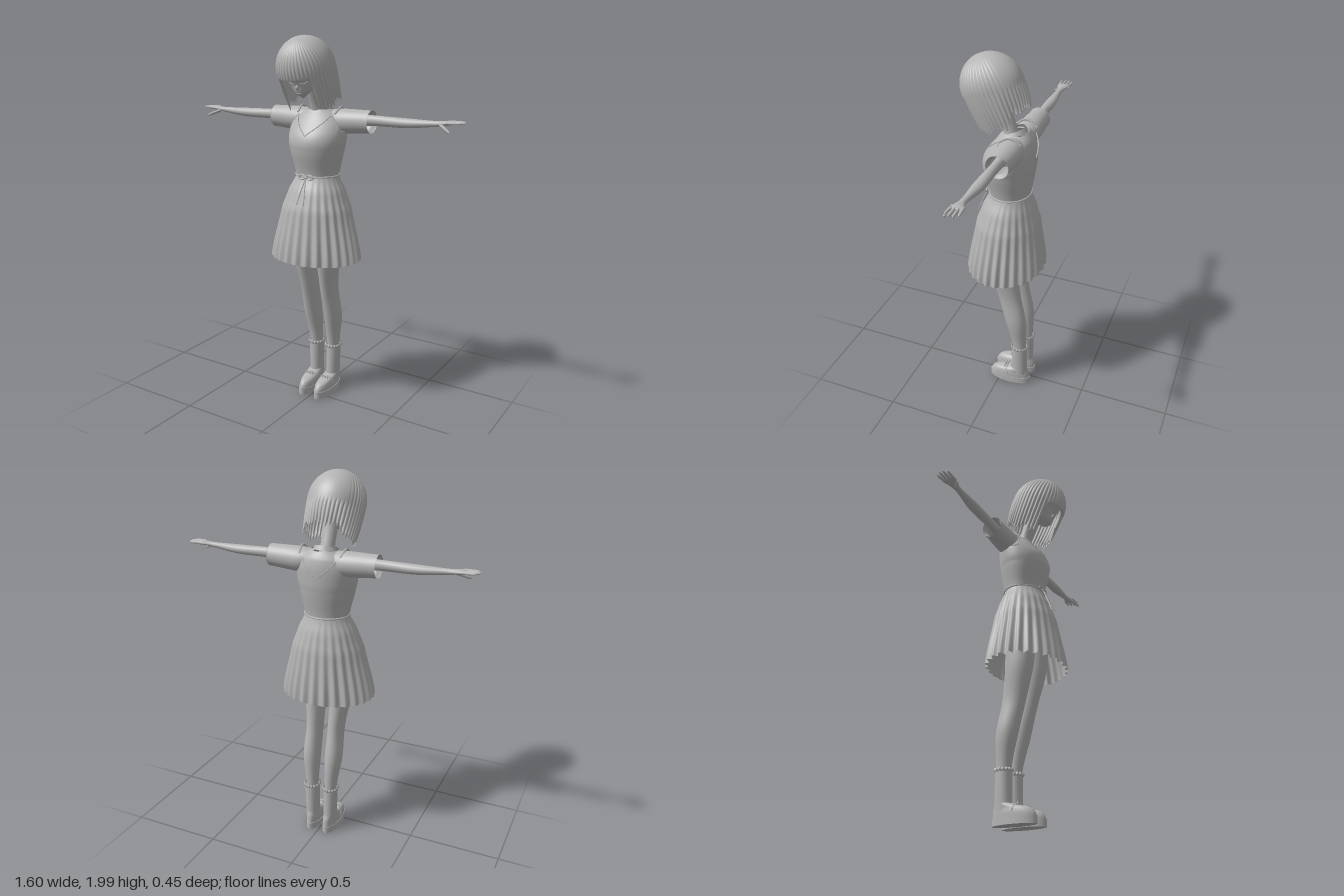
import * as THREE from 'three';

const grey = new THREE.MeshStandardMaterial({ color: 0xb4b4b4, side: THREE.DoubleSide });
grey.name = 'plain grey';

const { smoothstep, lerp } = THREE.MathUtils;
const mesh = (name, geometry) => {
  const m = new THREE.Mesh(geometry, grey);
  m.name = name;
  return m;
};

// Smoothly interpolate rows [t, a, b, ...] at t
function at(rows, t) {
  let i = 0;
  while (i < rows.length - 2 && t > rows[i + 1][0]) i++;
  const r = k => rows[Math.min(Math.max(k, 0), rows.length - 1)];
  const f = (t - r(i)[0]) / (r(i + 1)[0] - r(i)[0]);
  return rows[0].map((_, c) => {
    if (c === 0) return t;
    const p0 = r(i - 1)[c], p1 = r(i)[c], p2 = r(i + 1)[c], p3 = r(i + 2)[c];
    return p1 + 0.5 * f * (p2 - p0 + f * (2 * p0 - 5 * p1 + 4 * p2 - p3 + f * (3 * (p1 - p2) + p3 - p0)));
  });
}

// Closed-around surface from point(angle, v)
function surface(nu, nv, point) {
  const pos = [], index = [];
  for (let i = 0; i <= nv; i++)
    for (let j = 0; j < nu; j++) pos.push(...point(j / nu * Math.PI * 2, i / nv));
  for (let i = 0; i < nv; i++)
    for (let j = 0; j < nu; j++) {
      const a = i * nu + j, b = i * nu + (j + 1) % nu;
      index.push(a, b, b + nu, a, b + nu, a + nu);
    }
  const g = new THREE.BufferGeometry();
  g.setAttribute('position', new THREE.Float32BufferAttribute(pos, 3));
  g.setIndex(index);
  g.computeVertexNormals();
  return g;
}

// Upright sections, rows [y, cx, cz, rx, rz]
const ringY = (rows, y, a, grow = 0) => {
  const [, cx, cz, rx, rz] = at(rows, y);
  return [cx + (rx + grow) * Math.sin(a), y, cz + (rz + grow) * Math.cos(a)];
};
const loftY = (rows, nu, nv) => surface(nu, nv, (a, v) => ringY(rows, lerp(rows[0][0], rows.at(-1)[0], v), a));
// Sideways sections, rows [x, cy, cz, ry, rz]
const loftX = (rows, nu, nv) => surface(nu, nv, (a, v) => {
  const [x, cy, cz, ry, rz] = at(rows, lerp(rows[0][0], rows.at(-1)[0], v));
  return [x, cy + ry * Math.cos(a), cz + rz * Math.sin(a)];
});
const tube = (pts, r, closed = false, n = 24) => new THREE.TubeGeometry(
  new THREE.CatmullRomCurve3(pts.map(p => new THREE.Vector3(...p)), closed), n, r, 6, closed);
const ball = (x, y, z, rx, ry, rz) => new THREE.SphereGeometry(1, 24, 16).scale(rx, ry, rz).translate(x, y, z);

// Add a left part and its mirrored right part
function addPair(group, name, geo) {
  group.add(mesh('left ' + name, geo));
  const g = geo.clone().scale(-1, 1, 1), ix = g.index;
  for (let i = 0; i < ix.count; i += 3) {
    const b = ix.getX(i + 1);
    ix.setX(i + 1, ix.getX(i + 2));
    ix.setX(i + 2, b);
  }
  group.add(mesh('right ' + name, g));
}

function makeHead() {
  const head = new THREE.Group();
  head.name = 'head';
  // Face and skull, pointed chin
  const face = [
    [-0.125, 0, 0.085, 0.006, 0.008], [-0.09, 0, 0.042, 0.058, 0.073], [-0.045, 0, 0.008, 0.085, 0.108],
    [0.06, 0, -0.005, 0.113, 0.127], [0.15, 0, 0, 0.01, 0.01]];
  head.add(mesh('face', loftY(face, 40, 30)));
  head.add(mesh('nose', ball(0, -0.056, 0.114, 0.009, 0.014, 0.013)));
  head.add(mesh('mouth', tube([-0.25, 0, 0.25].map(a => ringY(face, -0.089 + 0.05 * a * a, a)), 0.002)));
  addPair(head, 'eyelid', tube([0.22, 0.45, 0.7].map((a, i) => ringY(face, -0.032 - 0.007 * (i % 2), a)), 0.003));
  addPair(head, 'ear', ball(0.098, -0.03, -0.01, 0.013, 0.03, 0.02));
  // Bobbed hair: ridged locks spreading from the crown, short fringe, long sides
  const locks = 44;
  head.add(mesh('hair', surface(locks * 8, 34, (a, w) => {
    const v = 1 - w, c = Math.cos(a), back = smoothstep(-c, 0.35, 0.8), side = smoothstep(-c, -0.83, -0.7);
    const lock = Math.abs(Math.sin(a * locks / 2)) ** 0.7;
    const length = lerp(lerp(0.004, -0.178, side), -0.13, back);
    const tip = length - 0.022 * (lock - 0.5) * (0.4 + side) + 0.012 * Math.sin(a * 9) * side;
    const phi = Math.min(v / 0.6, 1) * Math.PI / 2, drop = Math.max(v - 0.6, 0) / 0.4;
    const ridge = smoothstep(v, 0.03, 0.3) * (1 - back * (1 - smoothstep(v, 0.62, 0.72)));
    const r = Math.sin(phi) * (1 + 0.035 * (lock - 0.7) * ridge) * (1 - 0.1 * drop * drop);
    return [0.148 * r * Math.sin(a), 0.163 * Math.cos(phi) + tip * drop, 0.015 * (1 - v) - 0.006 + 0.157 * r * c];
  })));
  head.position.set(-0.008, 1.834, 0.06);
  head.rotation.set(0.4, 0, 0.04);
  return head;
}

function addDress(model) {
  // Blouse and bodice with a V neckline front and back
  const torso = [
    [1.27, 0, -0.04, 0.112, 0.1], [1.42, 0, -0.034, 0.144, 0.128], [1.48, 0, -0.039, 0.154, 0.128],
    [1.54, 0, -0.056, 0.15, 0.11], [1.59, 0, -0.068, 0.122, 0.088], [1.62, 0, -0.07, 0.072, 0.066]];
  const neckline = a => {
    const s = Math.abs(Math.sin(a));
    return 1.49 + 0.1 * Math.min(s / 0.75, 1) - 0.08 * smoothstep(s, 0.8, 0.95);
  };
  const around = (n, y, grow) => Array.from({ length: n }, (_, i) => {
    const a = i / n * Math.PI * 2;
    return ringY(torso, y(a), a, grow);
  });
  model.add(mesh('blouse', loftY(torso, 48, 24)));
  model.add(mesh('bodice', surface(96, 24, (a, v) => ringY(torso, lerp(1.27, neckline(a), v), a, 0.006))));
  model.add(mesh('neckline trim', tube(around(96, neckline, 0.006), 0.003, true, 192)));
  model.add(mesh('collar', surface(40, 4, (a, v) => {
    const r = 0.068 - 0.012 * v;
    return [r * Math.sin(a), 1.605 + 0.022 * v - 0.02 * Math.cos(a), -0.058 + r * 0.95 * Math.cos(a)];
  })));
  // Pleated skirt
  const skirt = [
    [0.82, 0, -0.022, 0.25, 0.202], [1.1, 0, -0.029, 0.192, 0.165],
    [1.2, 0, -0.034, 0.154, 0.135], [1.275, 0, -0.04, 0.117, 0.105]];
  model.add(mesh('skirt', surface(240, 24, (a, v) => {
    const wave = Math.cos(a * 26) * (1 - v);
    const p = ringY(skirt, lerp(0.82, 1.275, v), a, 0.009 * wave);
    p[1] += 0.003 * wave * (1 - v);
    return p;
  })));
  // Waist cord and bow
  model.add(mesh('waist cord', tube(around(24, () => 1.275, 0.008), 0.005, true, 72)));
  model.add(mesh('bow knot', ball(0, 1.272, 0.078, 0.009, 0.008, 0.008)));
  addPair(model, 'bow loop', new THREE.TorusGeometry(0.012, 0.004, 6, 24).scale(1.6, 1, 1).translate(0.023, 1.275, 0.078));
  addPair(model, 'bow tail', tube([[0, 1.27, 0.08], [0.012, 1.2, 0.112], [0.022, 1.135, 0.137]], 0.0035));
  // Short sleeves with turned-in cuffs
  addPair(model, 'sleeve', loftX([
    [0.05, 1.565, -0.078, 0.05, 0.055], [0.12, 1.56, -0.082, 0.064, 0.066], [0.295, 1.565, -0.084, 0.058, 0.057]], 32, 14));
  addPair(model, 'sleeve cuff', loftX([[0.27, 1.565, -0.084, 0.046, 0.044], [0.297, 1.565, -0.084, 0.059, 0.058]], 32, 6));
  addPair(model, 'shoulder strap', tube([[0.113, 1.6, -0.02], [0.12, 1.632, -0.075], [0.113, 1.6, -0.135]], 0.006));
}

function addArms(model) {
  addPair(model, 'arm', loftX([
    [0.15, 1.57, -0.083, 0.034, 0.034], [0.3, 1.573, -0.082, 0.027, 0.024], [0.5, 1.572, -0.08, 0.024, 0.028],
    [0.655, 1.579, -0.077, 0.014, 0.016], [0.725, 1.587, -0.079, 0.011, 0.033], [0.738, 1.588, -0.079, 0.004, 0.026]], 20, 36));
  // Tapered digits with rounded tips
  const digit = (from, to, r) => surface(10, 14, (a, v) => {
    const k = r * (1 - 0.3 * v) * Math.sqrt(1.001 - v ** 8);
    const [x, y, z] = from.map((p, i) => lerp(p, to[i], v));
    return [x, y + k * Math.cos(a), z + k * Math.sin(a)];
  });
  for (let i = 0; i < 4; i++) {
    const f = i - 1.6, reach = 0.8 - 0.0065 * f * f;
    addPair(model, 'finger ' + (i + 1), digit([0.712, 1.588, -0.079 + 0.017 * f], [reach, 1.59, -0.082 + 0.021 * f], 0.0085));
  }
  addPair(model, 'thumb', digit([0.672, 1.577, -0.068], [0.742, 1.545, -0.024], 0.011));
}

function addLegs(model) {
  model.add(mesh('hips', ball(0, 1.08, -0.025, 0.14, 0.12, 0.11)));
  addPair(model, 'leg', loftY([
    [0.2, 0.055, -0.122, 0.033, 0.037], [0.3, 0.057, -0.12, 0.035, 0.041], [0.46, 0.065, -0.1, 0.047, 0.06],
    [0.63, 0.064, -0.062, 0.044, 0.066], [0.82, 0.073, -0.028, 0.057, 0.08], [1.08, 0.072, -0.02, 0.066, 0.095]], 28, 44));
  // Socks with a wavy frill
  addPair(model, 'sock', loftY([[0.07, 0.054, -0.122, 0.036, 0.046], [0.27, 0.056, -0.122, 0.04, 0.045]], 28, 12));
  addPair(model, 'sock frill', surface(96, 6, (a, v) => {
    const r = 0.004 * Math.sin(v * Math.PI) + 0.003 * Math.cos(a * 16);
    return [0.056 + (0.041 + r) * Math.sin(a), 0.262 + 0.02 * v + 0.002 * Math.cos(a * 16), -0.122 + (0.046 + r) * Math.cos(a)];
  }));
  // Strapped shoes
  addPair(model, 'shoe sole', new THREE.CylinderGeometry(1, 1, 0.038, 40).scale(0.045, 1, 0.123).translate(0.05, 0.019, -0.0625));
  addPair(model, 'shoe upper', loftY([
    [0.036, 0.05, -0.0625, 0.043, 0.119], [0.06, 0.05, -0.066, 0.043, 0.114],
    [0.08, 0.051, -0.078, 0.04, 0.1], [0.106, 0.054, -0.12, 0.036, 0.05]], 40, 14));
  const strap = Array.from({ length: 7 }, (_, i) => {
    const a = (i / 6 - 0.5) * Math.PI;
    return [0.052 + 0.04 * Math.sin(a), 0.062 + 0.038 * Math.cos(a), -0.06 + 0.015 * Math.cos(a)];
  });
  addPair(model, 'shoe strap', tube(strap, 0.006));
  for (const side of [-1, 1])
    addPair(model, 'shoe bow loop', new THREE.TorusGeometry(0.008, 0.004, 6, 20).translate(0.052 + side * 0.011, 0.098, -0.034));
}

export function createModel() {
  const model = new THREE.Group();
  model.name = 'girl in dress';
  model.add(makeHead());
  model.add(mesh('neck', loftY([
    [1.54, 0, -0.055, 0.06, 0.05], [1.62, 0, -0.036, 0.038, 0.038], [1.76, 0, 0.01, 0.042, 0.042]], 24, 12)));
  addDress(model);
  addArms(model);
  addLegs(model);
  return model;
}
